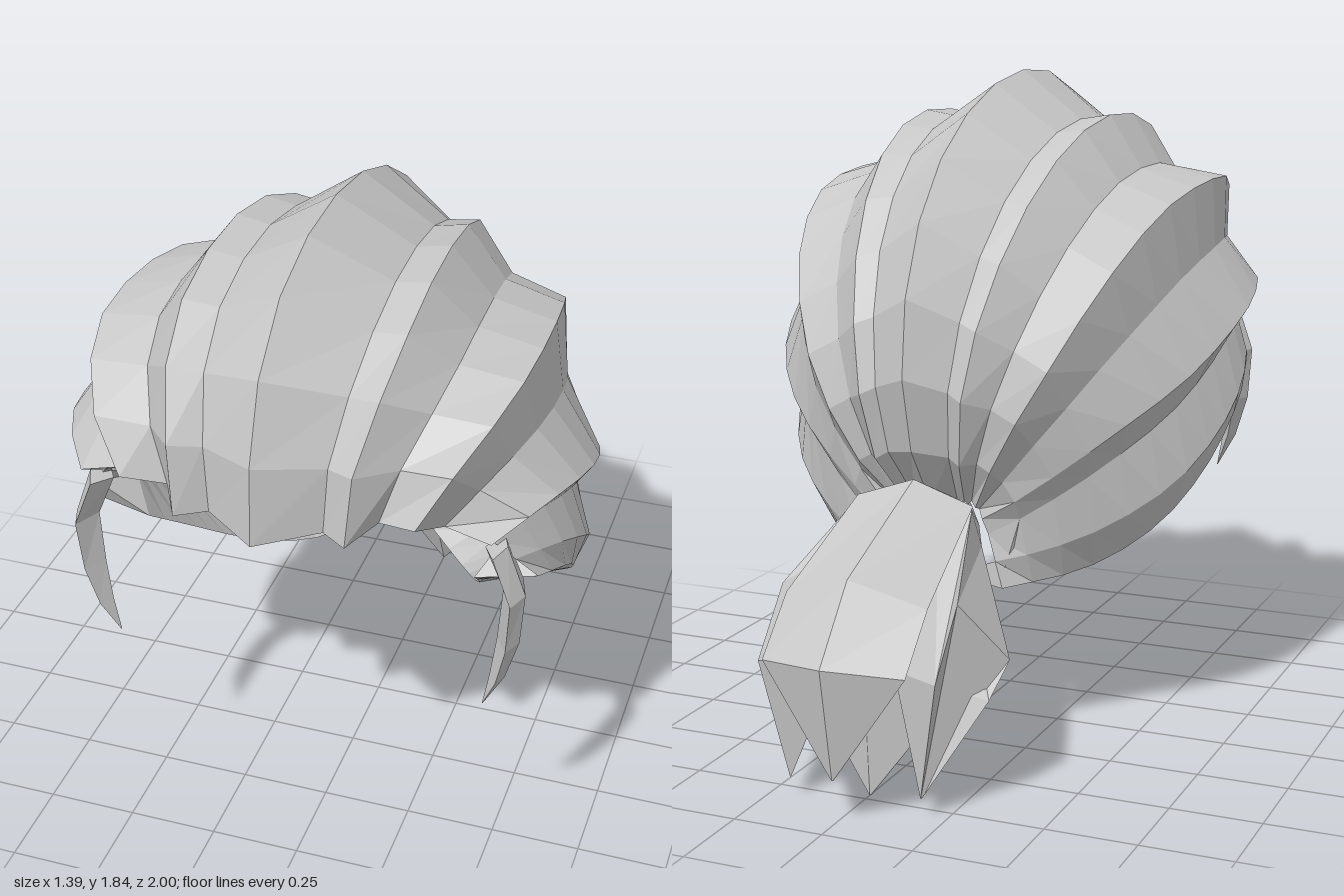
import * as THREE from 'three';

const V = (p) => new THREE.Vector3(...p);
const CENTRE = V([0, 1.18, 0.22]);
const STATIONS = 14;

// Evenly spaced stations along a smooth path
const path = (pts) => new THREE.CatmullRomCurve3(pts.map(V), false, 'centripetal').getSpacedPoints(STATIONS - 1);

// Move a point towards the middle of the head
const sink = (p, d) => p.clone().add(CENTRE.clone().sub(p).setLength(Math.abs(d)).multiplyScalar(Math.sign(d)));

// Thickness factor: full at the fringe, thin at the knot
const taper = (k) => 1 - 0.75 * (k / (STATIONS - 1));

// Faceted closed skin over a row of cross-sections
function loft(rings) {
  const pos = [];
  const tri = (...ps) => ps.forEach((p) => pos.push(p.x, p.y, p.z));
  const n = rings[0].length;
  for (let k = 0; k < rings.length - 1; k++) {
    for (let i = 0; i < n; i++) {
      const j = (i + 1) % n;
      const a = rings[k][i], b = rings[k][j], c = rings[k + 1][j], d = rings[k + 1][i];
      tri(a, b, c);
      tri(a, c, d);
    }
  }
  const first = rings[0], last = rings[rings.length - 1];
  for (let i = 1; i < n - 1; i++) {
    tri(first[0], first[i + 1], first[i]);
    tri(last[0], last[i], last[i + 1]);
  }
  const geo = new THREE.BufferGeometry();
  geo.setAttribute('position', new THREE.Float32BufferAttribute(pos, 3));
  geo.computeVertexNormals();
  return geo;
}

const mirror = (rings) => rings.map((r) => r.map((p) => new THREE.Vector3(-p.x, p.y, p.z)).reverse());

// Cross-sections of a pointed lock: outer ridge, inner ridge and half widths along a side direction
function spindle(outer, inner, widths, side) {
  return outer.map((o, k) => {
    const a = V(o), b = V(inner[k]);
    const mid = a.clone().lerp(b, 0.4);
    const s = V(side).multiplyScalar(widths[k]);
    return [a, mid.clone().add(s), b, mid.clone().sub(s)];
  });
}

export function createModel() {
  const model = new THREE.Group();
  model.name = 'hair';
  const hair = new THREE.MeshStandardMaterial({ color: 0xc8c8c8, side: THREE.DoubleSide });
  hair.name = 'hairGrey';

  const add = (name, rings) => {
    const mesh = new THREE.Mesh(loft(rings), hair);
    mesh.name = name;
    model.add(mesh);
  };
  const addPair = (name, rings) => {
    add(name + 'Left', rings);
    add(name + 'Right', mirror(rings));
  };

  // Ridge lines of the swept-back locks, from the fringe to the knot
  const ridges = [
    [[0, 1.22, 1], [0, 1.5, 0.97], [0, 1.71, 0.84], [0, 1.815, 0.63], [0, 1.845, 0.4], [0, 1.825, 0.18], [0, 1.76, -0.03],
      [0, 1.655, -0.22], [0, 1.51, -0.37], [0, 1.33, -0.47], [0, 1.13, -0.51], [0, 0.95, -0.485], [0, 0.75, -0.39], [0, 0.7, -0.33]],
    [[0.22, 1.23, 0.95], [0.235, 1.42, 0.93], [0.28, 1.62, 0.77], [0.29, 1.725, 0.4], [0.27, 1.655, 0],
      [0.22, 1.42, -0.31], [0.16, 1.1, -0.46], [0.13, 0.88, -0.44], [0.11, 0.74, -0.36], [0.09, 0.69, -0.3]],
    [[0.38, 1.28, 0.9], [0.46, 1.42, 0.85], [0.54, 1.52, 0.65], [0.56, 1.54, 0.4], [0.53, 1.48, 0.04],
      [0.45, 1.3, -0.23], [0.33, 1.05, -0.38], [0.22, 0.86, -0.39], [0.15, 0.73, -0.34], [0.12, 0.69, -0.3]],
    [[0.54, 1.2, 0.79], [0.63, 1.24, 0.65], [0.69, 1.2, 0.4], [0.68, 1.13, 0.2], [0.62, 1.03, 0],
      [0.5, 0.92, -0.17], [0.35, 0.8, -0.27], [0.18, 0.68, -0.32], [0.14, 0.66, -0.3]],
    [[0.62, 1, 0.61], [0.655, 0.9, 0.4], [0.62, 0.74, 0.2], [0.53, 0.6, 0.04], [0.38, 0.5, -0.1], [0.2, 0.47, -0.3]],
  ].map(path);

  // Valleys between neighbouring ridges
  const valleys = [[0.74, 0.07], [0.54, 0.08], [0.5, 0.06], [0.28, 0.06]].map(([mix, drop], i) =>
    ridges[i].map((p, k) => sink(p.clone().lerp(ridges[i + 1][k], mix), drop * taper(k))));

  // Lower rim around the nape
  valleys.push(path([[0.45, 0.95, 0.6], [0.41, 0.79, 0.4], [0.36, 0.63, 0.2], [0.3, 0.52, 0.04], [0.22, 0.45, -0.11], [0.04, 0.49, -0.28]]));

  const thickness = [0.13, 0.13, 0.18, 0.2, 0.14];
  const inner = ridges.map((r, i) => r.map((p, k) => sink(p, thickness[i] * taper(k))));

  add('crownLock', ridges[0].map((p, k) => {
    const v = valleys[0][k];
    return [p, v, inner[0][k], new THREE.Vector3(-v.x, v.y, v.z)];
  }));
  ['upperLock', 'templeLock', 'sideLock'].forEach((name, i) => {
    addPair(name, ridges[i + 1].map((p, k) => [p, valleys[i + 1][k], inner[i + 1][k], valleys[i][k]]));
  });

  // Broad lower lock, bulging between its upper edge and its ridge
  addPair('napeLock', ridges[4].map((p, k) => {
    const bulge = 0.05 * Math.sin(Math.PI * k / (STATIONS - 1)) + 0.001;
    return [p, valleys[4][k], inner[4][k], valleys[3][k], sink(p.clone().lerp(valleys[3][k], 0.5), -bulge)];
  }));

  // Loose strands in front of the ears
  addPair('earStrand', spindle(
    [[0.56, 1.14, 0.7], [0.61, 1, 0.7], [0.6, 0.85, 0.7], [0.565, 0.73, 0.7], [0.51, 0.63, 0.7]],
    [[0.5, 1.12, 0.69], [0.55, 1, 0.69], [0.54, 0.85, 0.695], [0.525, 0.73, 0.7], [0.508, 0.63, 0.7]],
    [0.06, 0.067, 0.055, 0.035, 0.002], [0, 0, 1]));

  // Ponytail: top and bottom locks
  add('ponytailTop', spindle(
    [[0, 0.73, -0.32], [0, 0.79, -0.44], [0, 0.62, -0.84], [0, 0.43, -1], [0, 0.12, -0.94]],
    [[0, 0.66, -0.3], [0, 0.64, -0.42], [0, 0.45, -0.72], [0, 0.38, -0.82], [0, 0.12, -0.935]],
    [0.11, 0.17, 0.2, 0.2, 0.003], [1, 0, 0]));
  add('ponytailBottom', spindle(
    [[0, 0.62, -0.3], [0, 0.56, -0.36], [0, 0.19, -0.63], [0, 0, -0.72]],
    [[0, 0.68, -0.33], [0, 0.64, -0.42], [0, 0.42, -0.76], [0, 0, -0.725]],
    [0.08, 0.11, 0.21, 0.003], [-1, 0, 0]));

  // Ponytail side locks: outer, lower, inner, rear and top corners from root to tip
  addPair('ponytailSide', [
    [[0.14, 0.65, -0.32], [0.1, 0.61, -0.31], [0.02, 0.64, -0.34], [0.06, 0.69, -0.36], [0.12, 0.71, -0.33]],
    [[0.19, 0.62, -0.42], [0.14, 0.56, -0.4], [0.03, 0.6, -0.45], [0.1, 0.66, -0.5], [0.17, 0.72, -0.44]],
    [[0.345, 0.38, -0.6], [0.32, 0.29, -0.68], [0.08, 0.36, -0.74], [0.25, 0.38, -0.86], [0.25, 0.55, -0.72]],
    [[0.19, 0.055, -0.808], [0.188, 0.054, -0.81], [0.186, 0.055, -0.812], [0.188, 0.056, -0.814], [0.19, 0.057, -0.81]],
  ].map((ring) => ring.map(V)));

  return model;
}
